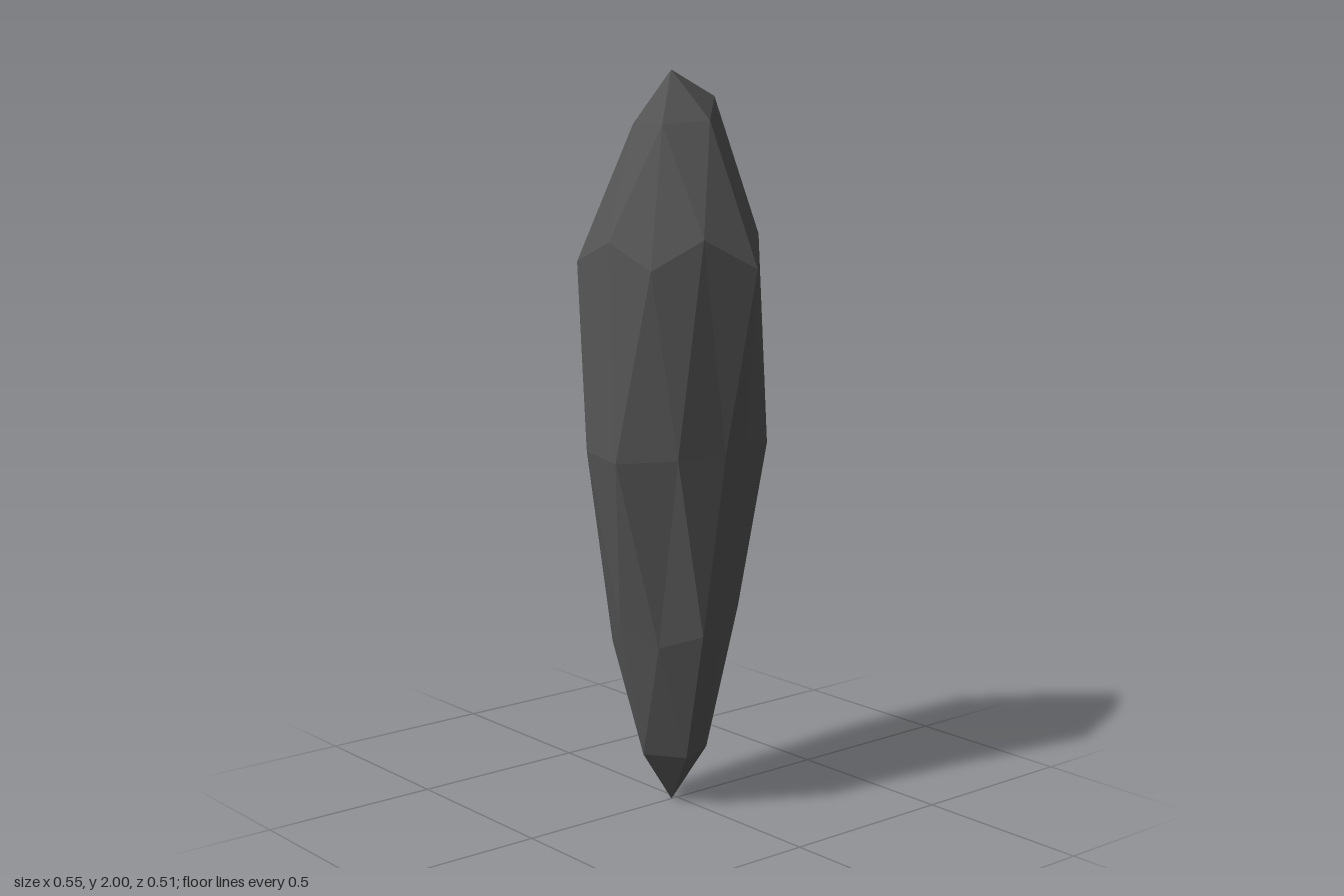
import * as THREE from 'three';

// Horizontal rings of the shard, each point [x, y, z], turning from +x towards +z
const TOP = [-0.02, 2, 0];
const CROWN = [[0.13, 1.93, 0], [0.02, 1.87, 0.11], [-0.1, 1.86, 0.06], [-0.1, 1.86, -0.06], [0.02, 1.87, -0.11]];
const SHOULDER = [
  [0.275, 1.5, -0.005], [0.17, 1.57, 0.135], [0.06, 1.49, 0.255], [-0.085, 1.57, 0.21], [-0.2, 1.49, 0.135],
  [-0.24, 1.56, 0.01], [-0.228, 1.5, -0.14], [-0.09, 1.57, -0.215], [0.06, 1.49, -0.255], [0.18, 1.58, -0.145],
];
const WAIST = [
  [0.247, 0.99, 0.09], [0.1, 1.02, 0.17], [-0.017, 1, 0.22], [-0.155, 1, 0.19], [-0.275, 0.99, 0.08],
  [-0.25, 1, -0.075], [-0.16, 1, -0.195], [-0.02, 0.97, -0.23], [0.145, 0.97, -0.23], [0.25, 0.97, -0.1],
];
const KNEE = [
  [0.155, 0.48, 0], [0.13, 0.55, 0.105], [0.04, 0.48, 0.14], [-0.085, 0.52, 0.21], [-0.155, 0.48, 0.11],
  [-0.2, 0.54, 0], [-0.155, 0.46, -0.09], [-0.075, 0.5, -0.16], [0.04, 0.47, -0.14], [0.15, 0.53, -0.11],
];
const FOOT = [[0.06, 0.15, 0.055], [-0.05, 0.15, 0.1], [-0.12, 0.15, 0], [-0.045, 0.15, -0.1], [0.06, 0.15, -0.06]];
const TIP = [-0.02, 0, 0];

function shardGeometry() {
  const positions = [];
  const at = (ring, i) => ring[(i + ring.length) % ring.length];
  const tri = (a, b, c) => positions.push(...a, ...b, ...c);

  // Pointed caps, where rings of five meet rings of ten
  for (let i = 0; i < 5; i++) {
    const a = CROWN[i], aNext = at(CROWN, i + 1);
    tri(TOP, aNext, a);
    tri(a, aNext, at(SHOULDER, 2 * i + 1));
    tri(a, at(SHOULDER, 2 * i + 1), at(SHOULDER, 2 * i));
    tri(a, at(SHOULDER, 2 * i), at(SHOULDER, 2 * i - 1));

    const e = FOOT[i], eNext = at(FOOT, i + 1);
    tri(at(KNEE, 2 * i), at(KNEE, 2 * i + 1), e);
    tri(at(KNEE, 2 * i + 1), at(KNEE, 2 * i + 2), e);
    tri(at(KNEE, 2 * i + 2), eNext, e);
    tri(e, eNext, TIP);
  }

  // Long facets above and below the waist
  for (let j = 0; j < 10; j++) {
    tri(at(SHOULDER, j), at(SHOULDER, j + 1), at(WAIST, j));
    tri(at(SHOULDER, j + 1), at(WAIST, j + 1), at(WAIST, j));
    tri(at(WAIST, j), at(WAIST, j + 1), at(KNEE, j + 1));
    tri(at(WAIST, j), at(KNEE, j + 1), at(KNEE, j));
  }

  const geometry = new THREE.BufferGeometry();
  geometry.setAttribute('position', new THREE.Float32BufferAttribute(positions, 3));
  geometry.computeVertexNormals();
  return geometry;
}

export function createModel() {
  const model = new THREE.Group();
  model.name = 'crystalShard';
  const material = new THREE.MeshStandardMaterial({ color: 0x555555, flatShading: true });
  const shard = new THREE.Mesh(shardGeometry(), material);
  shard.name = 'shard';
  model.add(shard);
  return model;
}
